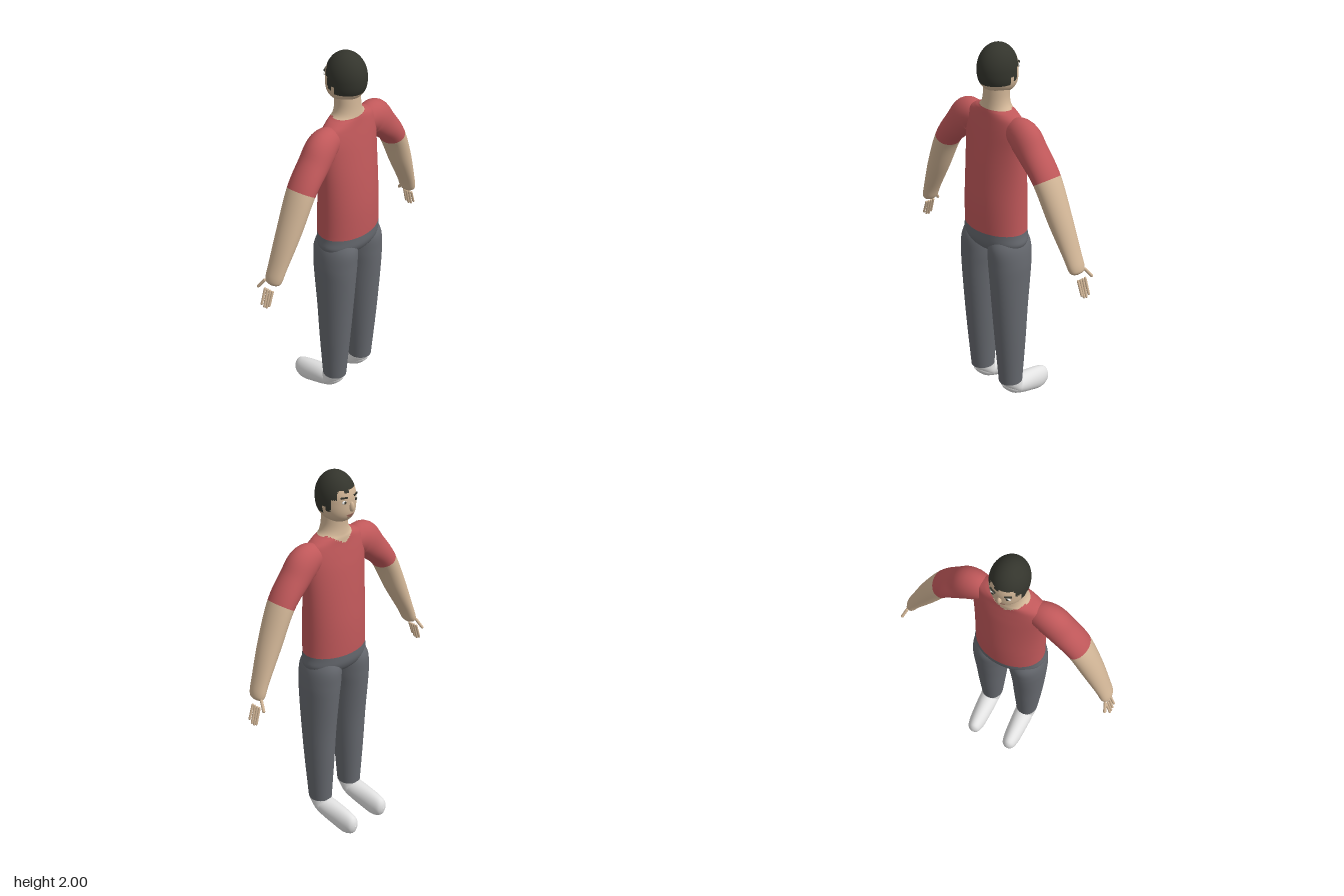
import * as THREE from 'three';
import { mergeVertices } from 'three/addons/utils/BufferGeometryUtils.js';

const V = (x, y, z) => new THREE.Vector3(x, y, z);
const mat = (name, color) => Object.assign(new THREE.MeshStandardMaterial({ color }), { name });

// Smooth elliptical loft; rows are [x, y, z, radiusU, radiusV], frame(t) gives the two axes
function loft(rows, frame, steps = 6, sides = 40) {
  const path = new THREE.CatmullRomCurve3(rows.map(r => V(r[0], r[1], r[2])), false, 'catmullrom', 0.5);
  const size = new THREE.CatmullRomCurve3(rows.map(r => V(r[3], r[4], 0)), false, 'catmullrom', 0.5);
  const n = (rows.length - 1) * steps, pos = [], idx = [];
  for (let i = 0; i <= n; i++) {
    const c = path.getPoint(i / n), r = size.getPoint(i / n), [u, v] = frame(i / n, path);
    for (let j = 0; j < sides; j++) {
      const a = j / sides * Math.PI * 2;
      pos.push(...c.clone().addScaledVector(u, Math.cos(a) * r.x).addScaledVector(v, Math.sin(a) * r.y));
    }
  }
  const [u, v] = frame(0.5, path);
  const flip = u.clone().cross(v).dot(path.getPoint(1).sub(path.getPoint(0))) < 0;
  for (let i = 0; i < n; i++) for (let j = 0; j < sides; j++) {
    const k = (j + 1) % sides, a = i * sides + j, b = i * sides + k, c = a + sides, d = b + sides;
    idx.push(...(flip ? [a, c, b, b, c, d] : [a, b, c, b, d, c]));
  }
  const g = new THREE.BufferGeometry();
  g.setAttribute('position', new THREE.Float32BufferAttribute(pos, 3));
  g.setIndex(idx);
  g.computeVertexNormals();
  return g;
}
const flat = () => [V(1, 0, 0), V(0, 0, 1)];
const upright = () => [V(1, 0, 0), V(0, 1, 0)];
const across = (t, path) => {
  const d = path.getTangent(t);
  return [V(-d.y, d.x, 0).normalize(), V(0, 0, 1)];
};

// Divides one smooth surface into named meshes, choosing a part for each face by its centre
function split(geo, parts, choose) {
  const lists = parts.map(() => []), p = geo.attributes.position, ix = geo.index.array, c = V(0, 0, 0), q = V(0, 0, 0);
  for (let i = 0; i < ix.length; i += 3) {
    c.set(0, 0, 0);
    for (let k = 0; k < 3; k++) c.addScaledVector(q.fromBufferAttribute(p, ix[i + k]), 1 / 3);
    lists[choose(c)].push(ix[i], ix[i + 1], ix[i + 2]);
  }
  return parts.map(([name, material], i) => {
    const g = geo.clone();
    g.setIndex(lists[i]);
    return Object.assign(new THREE.Mesh(g, material), { name });
  });
}

export function createModel() {
  const root = new THREE.Group();
  root.name = 'standingMan';
  const skin = mat('skin', 0xd2b697), shirt = mat('shirt red', 0xc0585a), pants = mat('trouser grey', 0x66696f);
  const shoe = mat('shoe white', 0xe2e2e2), hair = mat('hair', 0x34352d), lip = mat('lips', 0x8f6355), white = mat('eye white', 0xf0eeea);
  const add = (name, geo, material, x = 0, y = 0, z = 0) => {
    const m = new THREE.Mesh(geo, material);
    m.name = name;
    m.position.set(x, y, z);
    root.add(m);
    return m;
  };
  const ball = (name, material, x, y, z, rx, ry, rz) =>
    add(name, new THREE.SphereGeometry(1, 20, 14), material, x, y, z).scale.set(rx, ry, rz);
  const rod = (name, a, b, r) => {
    const m = add(name, new THREE.CapsuleGeometry(r, a.distanceTo(b) - 2 * r, 4, 10), skin, ...a.clone().lerp(b, 0.5));
    m.quaternion.setFromUnitVectors(V(0, 1, 0), b.clone().sub(a).normalize());
  };

  // Pelvis, shirt body and neck; the neckline dips at the front
  const torso = loft([
    [0, 0.91, 0.068, 0.03, 0.03], [0, 0.94, 0.068, 0.14, 0.09], [0, 0.985, 0.068, 0.192, 0.124],
    [0, 1.05, 0.067, 0.187, 0.132], [0, 1.2, 0.067, 0.186, 0.13], [0, 1.35, 0.066, 0.188, 0.117],
    [0, 1.5, 0.064, 0.194, 0.098], [0, 1.58, 0.064, 0.198, 0.085], [0, 1.64, 0.064, 0.18, 0.074],
    [0, 1.67, 0.063, 0.135, 0.07], [0, 1.69, 0.063, 0.09, 0.066], [0, 1.73, 0.062, 0.071, 0.062],
    [0, 1.8, 0.058, 0.068, 0.062]], flat, 6, 56);
  root.add(...split(torso, [['pelvis', pants], ['shirtBody', shirt], ['neck', skin]], c => {
    if (c.y < 1.05) return 0;
    const line = c.z < 0.04 ? 1.64 + Math.abs(c.x) * 0.6 : 1.685;
    return c.y > line ? 2 : 1;
  }));

  // Head: an ovoid with a fuller jaw and nape; a stepped hairline divides hair and face
  const ovoid = new THREE.SphereGeometry(1, 64, 56);
  const p = ovoid.attributes.position;
  for (let i = 0; i < p.count; i++) {
    const y = p.getY(i), s = Math.max(0, -y), k = s > 0 && s < 0.999 ? Math.sqrt((1 - s ** 3) / (1 - s * s)) : 1;
    p.setXYZ(i, p.getX(i) * 0.093 * k, 1.875 + y * 0.125, 0.053 + p.getZ(i) * 0.106 * k - 0.02 * s * s);
  }
  ovoid.deleteAttribute('uv');
  ovoid.deleteAttribute('normal');
  const skull = mergeVertices(ovoid, 1e-5);
  skull.computeVertexNormals();
  root.add(...split(skull, [['face', skin], ['hair', hair]], c => {
    let line = 1.81;
    if (c.z < 0.05) line = 1.845;
    if (c.z < 0.03) line = 1.825;
    if (c.z < 0.005) line = 1.885;
    if (c.z < -0.02) line = Math.abs(c.x - 0.02) < 0.012 ? 1.915 : 1.93;
    return c.y > line ? 1 : 0;
  }));

  // Face details
  ball('nose', skin, 0, 1.845, -0.054, 0.012, 0.026, 0.015);
  ball('upperLip', lip, 0, 1.803, -0.045, 0.026, 0.006, 0.006);
  ball('lowerLip', lip, 0, 1.795, -0.043, 0.02, 0.006, 0.006);

  for (const s of [1, -1]) {
    const side = s > 0 ? 'left' : 'right';
    ball(side + 'Eye', white, s * 0.036, 1.873, -0.043, 0.016, 0.009, 0.006);
    ball(side + 'Pupil', hair, s * 0.036, 1.873, -0.048, 0.007, 0.007, 0.004);
    const brow = add(side + 'Brow', new THREE.BoxGeometry(0.036, 0.007, 0.008), hair, s * 0.038, 1.896, -0.043);
    brow.rotation.y = -s * 0.4;

    // Arm from shoulder to rounded wrist, sleeve ending above the elbow
    const arm = loft([
      [0.1, 1.585, 0.064, 0.06, 0.05], [0.195, 1.583, 0.066, 0.088, 0.072], [0.27, 1.515, 0.067, 0.076, 0.076],
      [0.362, 1.41, 0.066, 0.06, 0.076], [0.45, 1.23, 0.06, 0.053, 0.065], [0.525, 1.07, 0.05, 0.036, 0.052],
      [0.552, 1.005, 0.045, 0.031, 0.047], [0.56, 0.982, 0.043, 0.021, 0.034], [0.563, 0.973, 0.042, 0.001, 0.001],
    ].map(([x, ...r]) => [s * x, ...r]), across);
    const hem = V(s * 0.455, -0.89, 0).normalize();
    root.add(...split(arm, [[side + 'Sleeve', shirt], [side + 'Forearm', skin]],
      c => c.clone().sub(V(s * 0.362, 1.41, 0)).dot(hem) > 0 ? 1 : 0));

    // Fingers and thumb
    for (let i = 0; i < 4; i++) {
      const z = 0.008 + i * 0.016, tip = [0.862, 0.853, 0.856, 0.872][i];
      rod(side + 'Finger' + (i + 1), V(s * 0.575, 0.952, z), V(s * 0.604, tip, z - 0.002), 0.0065);
    }
    rod(side + 'Thumb', V(s * 0.566, 0.995, 0.005), V(s * 0.585, 0.942, -0.034), 0.008);

    // Trouser leg
    add(side + 'TrouserLeg', loft([
      [s * 0.092, 1.04, 0.067, 0.07, 0.09], [s * 0.099, 0.97, 0.067, 0.093, 0.12], [s * 0.104, 0.88, 0.068, 0.099, 0.12],
      [s * 0.108, 0.78, 0.07, 0.094, 0.114], [s * 0.11, 0.6, 0.072, 0.086, 0.099],
      [s * 0.111, 0.4, 0.07, 0.076, 0.085], [s * 0.111, 0.145, 0.067, 0.06, 0.065]], flat), pants);

    // Shoe: ankle tapering into a rounded foot
    add(side + 'ShoeAnkle', loft([
      [s * 0.111, 0.15, 0.067, 0.0595, 0.0645], [s * 0.111, 0.125, 0.058, 0.0585, 0.06],
      [s * 0.111, 0.095, 0.04, 0.055, 0.05], [s * 0.111, 0.065, 0.02, 0.045, 0.035]], flat), shoe);
    add(side + 'ShoeFoot', loft([
      [s * 0.111, 0.128, 0.124, 0.001, 0.001], [s * 0.111, 0.12, 0.105, 0.032, 0.022], [s * 0.111, 0.105, 0.065, 0.05, 0.043],
      [s * 0.111, 0.094, 0.01, 0.054, 0.056], [s * 0.111, 0.081, -0.06, 0.051, 0.063], [s * 0.111, 0.068, -0.13, 0.046, 0.066],
      [s * 0.111, 0.068, -0.175, 0.036, 0.053], [s * 0.111, 0.069, -0.193, 0.021, 0.031],
      [s * 0.111, 0.07, -0.2, 0.001, 0.001]], upright), shoe);
  }
  return root;
}
